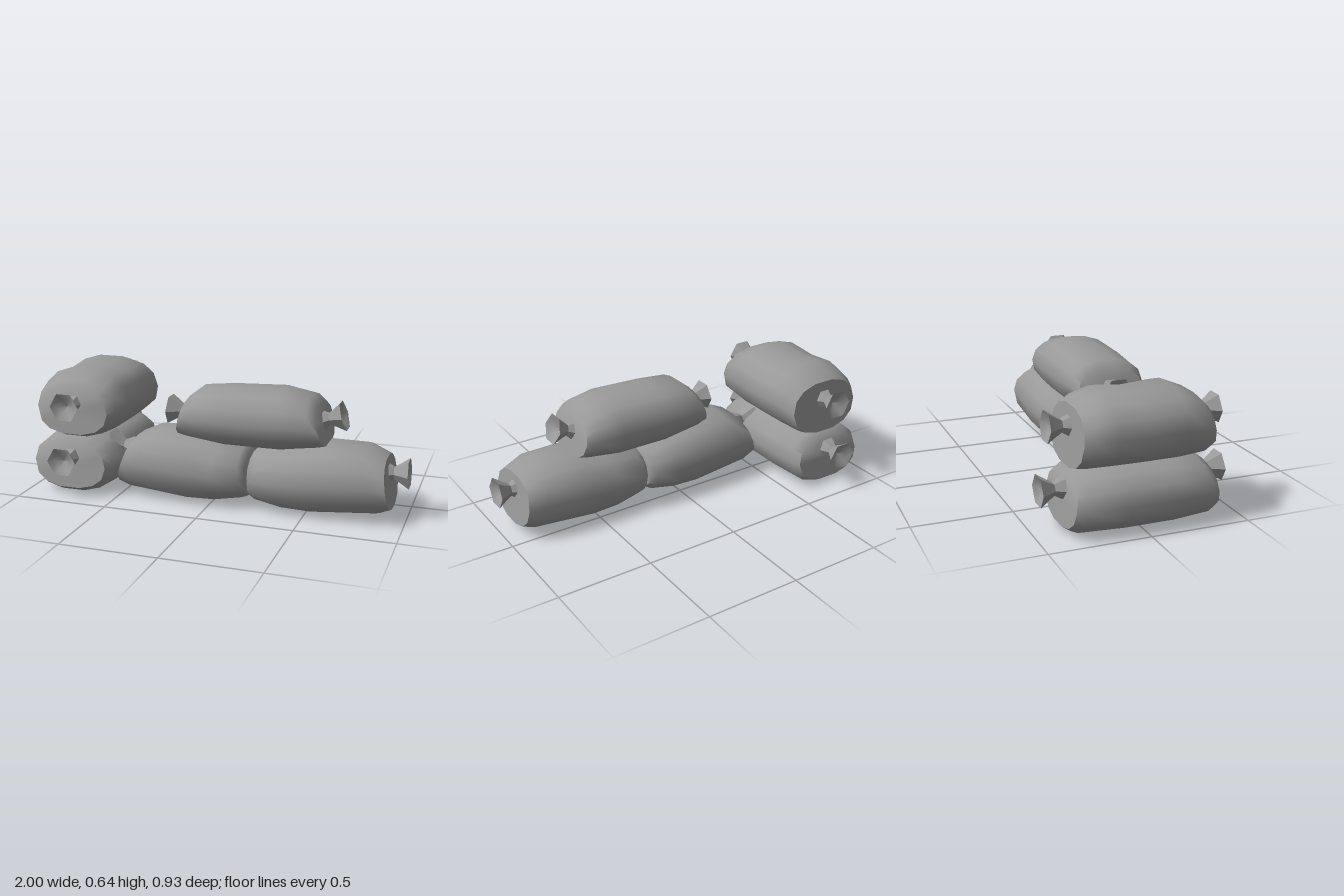
import * as THREE from 'three';
import { toCreasedNormals } from 'three/addons/utils/BufferGeometryUtils.js';

const SIDES = 14;
const cloth = new THREE.MeshStandardMaterial({ color: 0x999999 });
cloth.name = 'greyCloth';

const soften = (t) => Math.sign(t) * Math.abs(t) ** 0.85;

// Filled sack along x. Each station: [x at bottom, x at top, half width, bottom y, top y]
function sackGeometry(stations) {
  const pos = [], index = [];
  const ring = ([xb, xt, hw, yb, yt]) => {
    for (let j = 0; j < SIDES; j++) {
      const a = (j / SIDES) * Math.PI * 2;
      const s = soften(Math.sin(a));
      pos.push(xb + (xt - xb) * (s + 1) / 2, (yb + yt) / 2 + s * (yt - yb) / 2, hw * soften(Math.cos(a)));
    }
  };
  stations.forEach(ring);
  const n = stations.length;
  for (let i = 0; i < n - 1; i++) {
    for (let j = 0; j < SIDES; j++) {
      const k = (j + 1) % SIDES;
      const a = i * SIDES + j, b = a + SIDES, c = i * SIDES + k, d = c + SIDES;
      index.push(a, b, c, b, d, c);
    }
  }
  // end caps
  for (const i of [0, n - 1]) {
    const [xb, xt, , yb, yt] = stations[i];
    const centre = pos.length / 3;
    pos.push((xb + xt) / 2, (yb + yt) / 2, 0);
    for (let j = 0; j < SIDES; j++) {
      const a = i * SIDES + j, b = i * SIDES + (j + 1) % SIDES;
      if (i === 0) index.push(centre, a, b);
      else index.push(centre, b, a);
    }
  }
  const g = new THREE.BufferGeometry();
  g.setAttribute('position', new THREE.Float32BufferAttribute(pos, 3));
  g.setIndex(index);
  return toCreasedNormals(g, 0.95);
}

// Gathered six-sided neck, flaring out to a hollow mouth
const neckProfile = [
  [0.065, -0.04], [0.05, 0.005], [0.032, 0.035], [0.05, 0.065], [0.08, 0.11], [0.045, 0.09], [0, 0.065],
].map(([r, h]) => new THREE.Vector2(r, h));
const neckGeometry = toCreasedNormals(new THREE.LatheGeometry(neckProfile, 6), 0.8);

// ties: [x, y, direction along x, upward tilt]
function sack(name, stations, ties) {
  const bag = new THREE.Group();
  bag.name = name;
  const body = new THREE.Mesh(sackGeometry(stations), cloth);
  body.name = 'sackBody';
  bag.add(body);
  for (const [x, y, dir, tilt] of ties) {
    const neck = new THREE.Mesh(neckGeometry, cloth);
    neck.name = 'tiedNeck';
    neck.position.set(x, y, 0);
    neck.rotation.z = -dir * (Math.PI / 2 - tilt);
    bag.add(neck);
  }
  return bag;
}

export function createModel() {
  const model = new THREE.Group();
  model.name = 'sandbagWall';

  // Two sacks meeting end to end on the ground, mirrored about x = 0.2
  const groundLeft = [
    [-0.52, -0.43, 0.19, 0.06, 0.32],
    [-0.46, -0.32, 0.21, 0.035, 0.37],
    [-0.12, -0.12, 0.225, 0.005, 0.37],
    [0.03, 0.04, 0.22, 0.012, 0.34],
    [0.17, 0.16, 0.2, 0.04, 0.315],
    [0.2, 0.19, 0.17, 0.055, 0.29],
  ];
  const groundRight = groundLeft
    .map(([xb, xt, ...rest]) => [0.41 - xb, 0.4 - xt + 0.06, ...rest])
    .reverse();
  groundRight[0][1] = 0.21;
  groundRight[1][1] = 0.25;
  const left = sack('groundSackRight', groundLeft, [[-0.49, 0.235, -1, 0.1]]);
  const right = sack('groundSackLeft', groundRight, [[0.89, 0.235, 1, 0.05]]);

  // Sack lying across the joint
  const upper = sack('upperSack', [
    [-0.18, -0.13, 0.18, 0.355, 0.56],
    [-0.14, -0.08, 0.2, 0.345, 0.6],
    [0.08, 0.08, 0.21, 0.315, 0.618],
    [0.36, 0.36, 0.21, 0.315, 0.63],
    [0.55, 0.5, 0.2, 0.345, 0.6],
    [0.595, 0.545, 0.18, 0.355, 0.56],
  ], [[-0.15, 0.46, -1, 0.05], [0.56, 0.475, 1, 0.3]]);
  for (const s of [left, right, upper]) s.position.z = 0.157;

  // Stacked pair lying front to back
  const sideLower = sack('sideLowerSack', [
    [-0.365, -0.33, 0.2, 0.035, 0.28],
    [-0.33, -0.28, 0.225, 0.012, 0.31],
    [-0.1, -0.1, 0.245, 0.005, 0.325],
    [0.15, 0.15, 0.245, 0.005, 0.325],
    [0.34, 0.3, 0.23, 0.018, 0.31],
    [0.385, 0.345, 0.2, 0.045, 0.28],
  ], [[-0.35, 0.205, -1, 0], [0.355, 0.205, 1, 0.05]]);
  sideLower.position.x = -0.755;

  const sideUpper = sack('sideUpperSack', [
    [-0.325, -0.295, 0.21, 0.31, 0.595],
    [-0.29, -0.24, 0.23, 0.305, 0.625],
    [-0.15, -0.15, 0.245, 0.303, 0.655],
    [0, 0, 0.245, 0.303, 0.64],
    [0.18, 0.18, 0.245, 0.303, 0.655],
    [0.32, 0.29, 0.225, 0.315, 0.61],
    [0.365, 0.335, 0.195, 0.335, 0.57],
  ], [[-0.305, 0.495, -1, 0.05], [0.335, 0.495, 1, 0.05]]);
  sideUpper.position.x = -0.735;

  for (const s of [sideLower, sideUpper]) s.rotation.y = -Math.PI / 2;
  model.add(left, right, upper, sideLower, sideUpper);
  return model;
}
